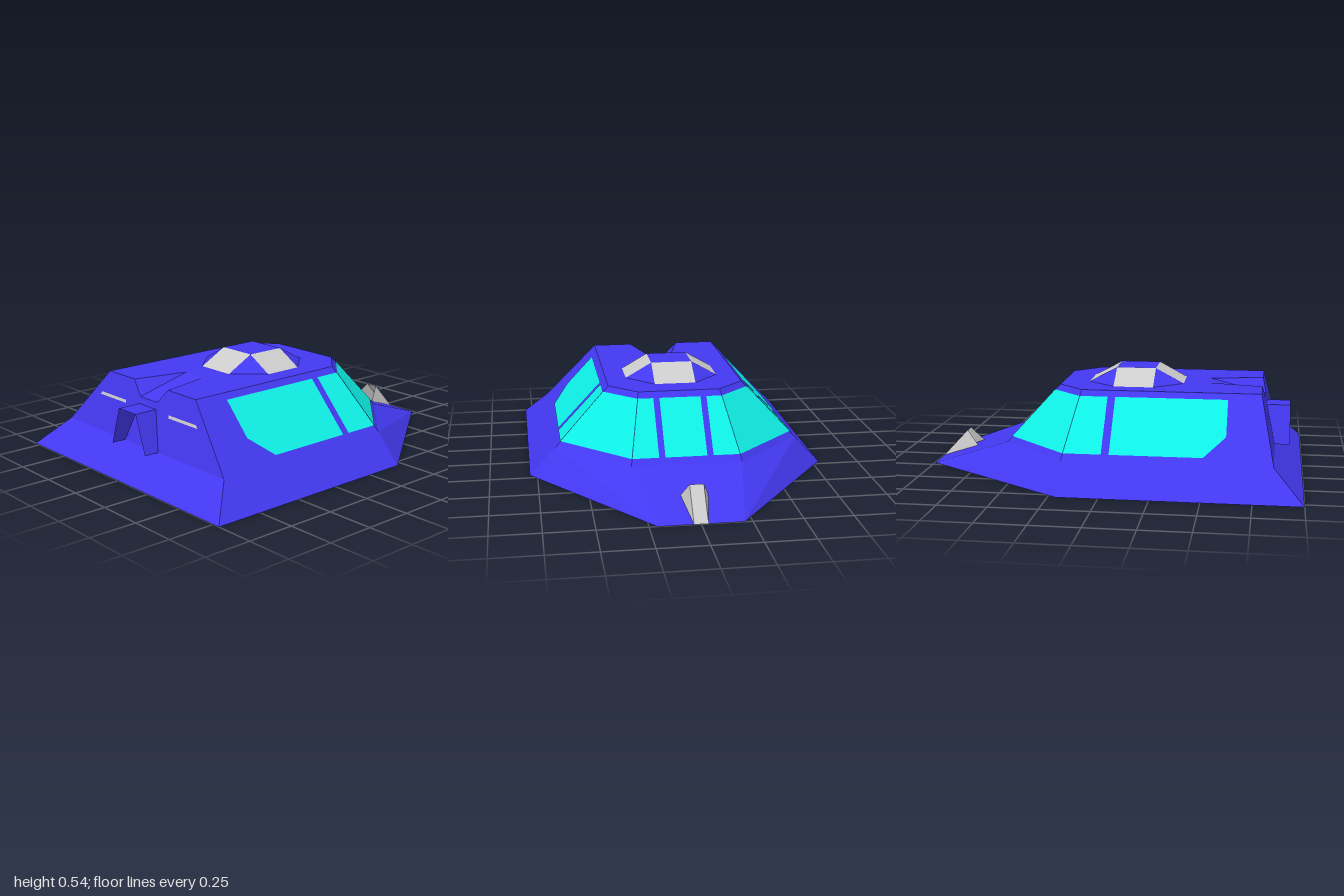
import * as THREE from 'three';

const BLUE = 0x4338f0, CYAN = 0x0ff0e6, GREY = 0xcccccc;
const CENTRE = new THREE.Vector3(0, 0.1, 0);
const mirror = (p) => [-p[0], p[1], p[2]];
const both = (faces) => [...faces, ...faces.map((f) => f.map(mirror))];

// Point at height y on the line from a to b
const atHeight = (a, b, y) => {
  const t = (y - a[1]) / (b[1] - a[1]);
  return a.map((v, i) => v + (b[i] - v) * t);
};

// Triangulates a polygon in space, facing away from the centre, lifted off its plane
function triangulate(points, lift, out) {
  const p = points.map((q) => new THREE.Vector3(...q));
  const n = new THREE.Vector3(), mid = new THREE.Vector3();
  p.forEach((a, i) => {
    n.add(a.clone().cross(p[(i + 1) % p.length]));
    mid.addScaledVector(a, 1 / p.length);
  });
  n.normalize();
  if (n.dot(mid.sub(CENTRE)) < 0) n.negate();

  const size = n.toArray().map(Math.abs);
  const drop = size.indexOf(Math.max(...size));
  const [u, v] = [0, 1, 2].filter((i) => i !== drop);
  const flat = points.map((q) => new THREE.Vector2(q[u], q[v]));
  for (const tri of THREE.ShapeUtils.triangulateShape(flat, [])) {
    let [a, b, c] = tri.map((i) => p[i]);
    if (b.clone().sub(a).cross(c.clone().sub(a)).dot(n) < 0) [b, c] = [c, b];
    for (const q of [a, b, c]) out.push(...q.clone().addScaledVector(n, lift).toArray());
  }
}

function panels(name, color, faces, { lift = 0, open = false } = {}) {
  const pos = [];
  faces.forEach((f) => triangulate(f, lift, pos));
  const geo = new THREE.BufferGeometry();
  geo.setAttribute('position', new THREE.Float32BufferAttribute(pos, 3));
  geo.computeVertexNormals();
  const mat = new THREE.MeshStandardMaterial({ color, flatShading: true });
  if (open) mat.side = THREE.DoubleSide;
  const mesh = new THREE.Mesh(geo, mat);
  mesh.name = name;
  return mesh;
}

export function createModel() {
  const group = new THREE.Group();
  group.name = 'wedgeCraft';

  // Hull corners on the +x side: base, middle break, roof
  const baseRear = [0.79, 0, 1], baseSide = [0.79, 0, -0.21], baseNose = [0.21, 0, -1];
  const midRear = [0.65, 0.15, 0.85], midSide = [0.65, 0.15, -0.21], midNose = [0.285, 0.15, -0.57];
  const roofRear = [0.36, 0.46, 0.78], roofSide = [0.36, 0.46, -0.15], roofNose = [0.215, 0.46, -0.29];
  // Channel sunk into the end of the roof
  const chanTip = [0.07, 0.46, 0.5], chanEdge = [0.14, 0.46, 0.78], chanFloor = [0.07, 0.385, 0.797];
  // Polygon symmetric about the middle, from its +x half
  const sym = (...half) => [...half, ...half.map(mirror).reverse()];

  group.add(panels('hull', BLUE, [
    sym(baseRear, baseSide, baseNose),
    sym(baseRear, midRear),
    sym(midRear, roofRear, chanEdge, chanFloor),
    sym(chanTip, chanEdge, roofRear, roofSide, roofNose),
    sym(baseNose, midNose),
    sym(midNose, roofNose),
    ...both([
      [baseRear, baseSide, midSide, roofSide, roofRear, midRear],
      [baseNose, baseSide, midSide],
      [baseNose, midSide, midNose],
      [midNose, midSide, roofSide, roofNose],
    ]),
  ]));

  group.add(panels('roofChannel', BLUE, [
    sym(chanTip, chanFloor),
    ...both([[chanTip, chanEdge, chanFloor]]),
  ], { open: true }));

  // Windows between a lower and an upper height on the cabin faces
  const lo = 0.18, hi = 0.43;
  const nose = (x, y) => [x, y, atHeight(midNose, roofNose, y)[2]];
  const side = (z, y) => [0.79 - 0.43 * y / 0.46, y, z];
  const noseLo = atHeight(midNose, roofNose, lo), noseHi = atHeight(midNose, roofNose, hi);
  const sideLo = atHeight(midSide, roofSide, lo), sideHi = atHeight(midSide, roofSide, hi);
  group.add(panels('windows', CYAN, [
    sym(nose(0.108, lo), nose(0.108, hi)),
    ...both([
      [nose(0.14, lo), nose(0.14, hi), noseHi, noseLo],
      [noseLo, noseHi, sideHi, sideLo],
      [sideLo, sideHi, side(-0.01, hi), side(-0.01, lo)],
      [side(0.03, lo), side(0.03, hi), side(0.61, hi), side(0.61, 0.27), side(0.5, lo)],
    ]),
  ], { lift: 0.003 }));

  // Low turret: square top, sloped grey plates, blue corner triangles
  const y0 = 0.46, y1 = 0.54;
  const topA = [0.11, y1, 0], topB = [0.11, y1, 0.21];
  const footA = [0.11, y0, -0.15], footB = [0.11, y0, 0.36];
  const outA = [0.25, y0, 0], outB = [0.25, y0, 0.21];
  const turret = new THREE.Group();
  turret.name = 'turret';
  turret.add(panels('turretBody', BLUE, [
    sym(topA, topB),
    ...both([[topA, footA, outA], [topB, outB, footB]]),
  ]));
  turret.add(panels('turretPlates', GREY, [
    sym(topA, footA),
    sym(topB, footB),
    ...both([[topA, topB, outB, outA]]),
  ]));
  group.add(turret);

  // Open hood standing out from the +z end
  const hoodTop = [0.07, 0.35, 0.93], hoodTopIn = [0.07, 0.35, 0.805];
  const hoodFoot = [0.14, 0.15, 0.93], hoodFootIn = [0.14, 0.15, 0.85];
  group.add(panels('exhaustHood', BLUE, [
    sym(hoodTop, hoodTopIn),
    ...both([[hoodTop, hoodTopIn, hoodFootIn, hoodFoot]]),
  ], { open: true }));

  // Thin slots either side of the hood
  const slot = (x, y) => [x, y, atHeight(midRear, roofRear, y)[2]];
  group.add(panels('slots', GREY, both([
    [slot(0.18, 0.33), slot(0.41, 0.33), slot(0.395, 0.345), slot(0.18, 0.345)],
  ]), { lift: 0.003 }));

  // Open scoop on the nose
  const tip = [0.035, 0, -1], crest = [0.035, 0.15, -0.86], heel = [0.07, 0.07, -0.79];
  group.add(panels('noseScoop', GREY, [
    sym(tip, crest),
    ...both([[tip, crest, heel]]),
  ], { open: true }));

  return group;
}
